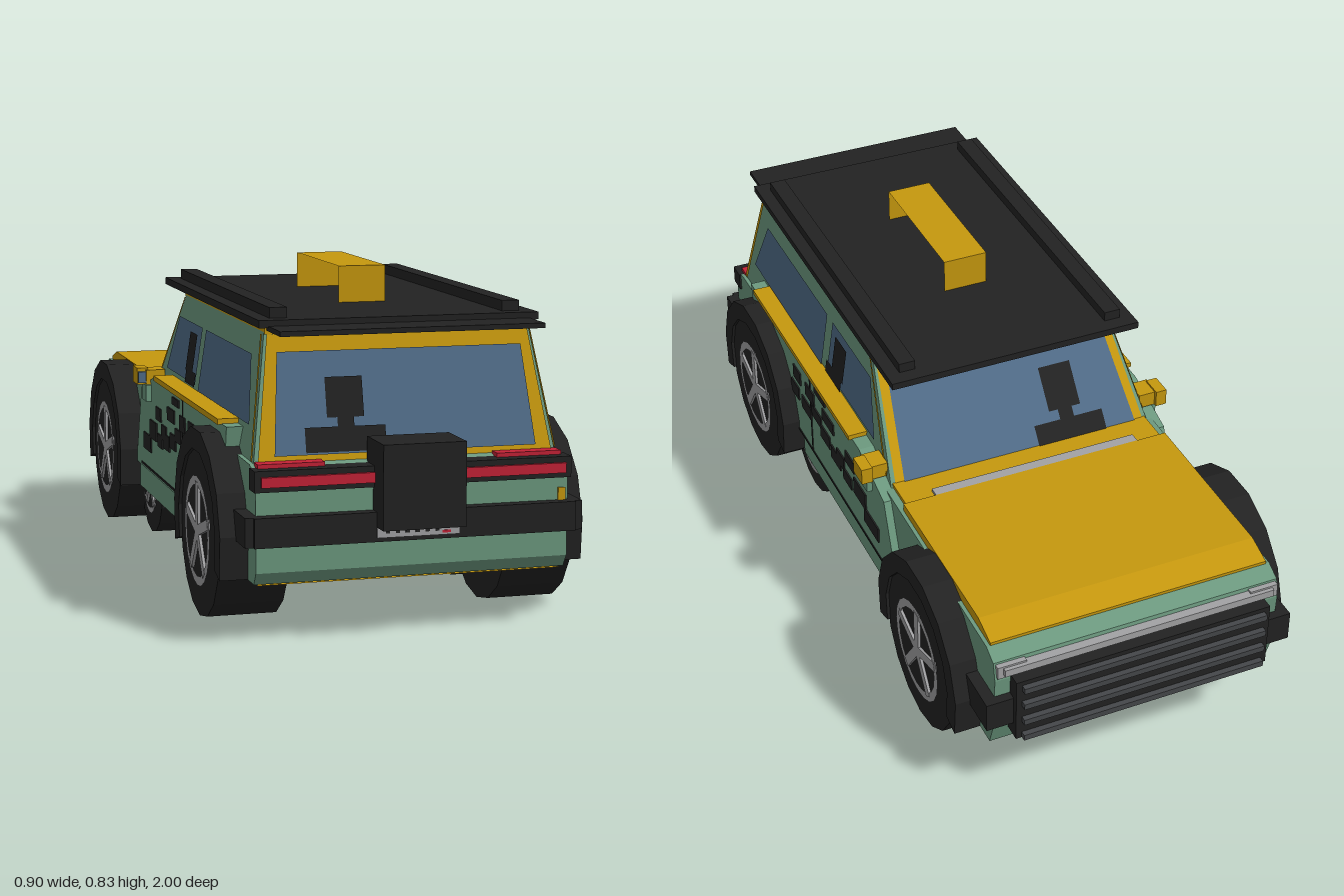
import * as THREE from 'three';

const mat = (name, color) => new THREE.MeshStandardMaterial({ name, color, side: THREE.DoubleSide });
const green = mat('sage green', 0x6c997f);
const gold = mat('gold', 0xc6980e);
const black = mat('black', 0x222222);
const blue = mat('window blue', 0x506c88);
const red = mat('lamp red', 0xc42236);
const grey = mat('light grey', 0xa2a2a4);
const dark = mat('dark grey', 0x45474a);

export function createModel() {
  const car = new THREE.Group();
  car.name = 'offRoadCar';

  const add = (name, geo, m, parent = car) => {
    const mesh = new THREE.Mesh(geo, m);
    mesh.name = name;
    parent.add(mesh);
    return mesh;
  };
  // Box given by its extents
  const box = (name, m, x0, x1, y0, y1, z0, z1, parent) => {
    const g = new THREE.BoxGeometry(Math.abs(x1 - x0), y1 - y0, z1 - z0);
    g.translate((x0 + x1) / 2, (y0 + y1) / 2, (z0 + z1) / 2);
    return add(name, g, m, parent);
  };
  // Convex flat panel from its corners
  const panel = (name, m, pts) => {
    const g = new THREE.BufferGeometry();
    g.setAttribute('position', new THREE.Float32BufferAttribute(pts.flat(), 3));
    const idx = [];
    for (let i = 1; i < pts.length - 1; i++) idx.push(0, i, i + 1);
    g.setIndex(idx);
    const flat = g.toNonIndexed();
    flat.computeVertexNormals();
    return add(name, flat, m);
  };
  // Side profile in (z, y) extruded across x
  const sweep = (shape, x0, x1) => {
    const g = new THREE.ExtrudeGeometry(shape, { depth: x1 - x0, bevelEnabled: false, curveSegments: 14 });
    g.rotateY(-Math.PI / 2);
    g.translate(x1, 0, 0);
    return g;
  };
  const outline = (pts) => new THREE.Shape(pts.map(([z, y]) => new THREE.Vector2(z, y)));

  // Lower body, sills and doors
  add('lowerBody', sweep(outline([[0.9, 0.14], [0.92, 0.17], [0.92, 0.4], [0.86, 0.415], [-0.27, 0.44],
    [-0.9, 0.43], [-0.94, 0.41], [-0.95, 0.36], [-0.94, 0.2], [-0.92, 0.14]]), -0.38, 0.38), green);
  add('doorBody', sweep(outline([[0.67, 0.21], [0.72, 0.48], [-0.13, 0.48], [-0.3, 0.43], [-0.38, 0.21]]), -0.4, 0.4), green);
  panel('floorGold', gold, [[0.37, 0.137, 0.9], [-0.37, 0.137, 0.9], [-0.37, 0.137, -0.9]]);

  // Bonnet and cowl
  add('bonnet', sweep(outline([[-0.36, 0.41], [-0.36, 0.46], [-0.83, 0.46], [-0.9, 0.438], [-0.9, 0.41]]), -0.37, 0.37), gold);
  box('cowl', gold, -0.36, 0.36, 0.4, 0.45, -0.36, -0.26);
  box('wiperStrip', grey, -0.29, 0.28, 0.45, 0.458, -0.36, -0.33);

  // Cabin: tapered block
  const lerp = THREE.MathUtils.lerp, t = (y) => (y - 0.41) / 0.3;
  const halfW = (y) => lerp(0.37, 0.325, t(y));
  const rearZ = (y) => lerp(0.86, 0.785, t(y));
  const frontZ = (y) => lerp(-0.29, -0.05, t(y));
  const cabin = new THREE.BoxGeometry(2, 0.3, 2);
  const p = cabin.attributes.position;
  for (let i = 0; i < p.count; i++) {
    const y = p.getY(i) + 0.56;
    p.setXYZ(i, p.getX(i) * halfW(y), y, p.getZ(i) > 0 ? rearZ(y) : frontZ(y));
  }
  cabin.computeVertexNormals();
  add('cabin', cabin, green);
  box('roofPanel', gold, -0.325, 0.325, 0.705, 0.722, -0.06, 0.79);

  const onRear = (name, m, pts, d) => panel(name, m, pts.map(([x, y]) => [x, y, rearZ(y) + d]));
  const onFront = (name, m, pts, d) => panel(name, m, pts.map(([x, y]) => [x, y, frontZ(y) - d]));
  const onSide = (name, m, s, pts, d) => panel(name, m, pts.map(([z, y]) => [s * (halfW(y) + d), y, z]));
  const rect = (a0, a1, b0, b1) => [[a0, b0], [a1, b0], [a1, b1], [a0, b1]];

  // Rear and front glass with frames
  onRear('rearFrame', gold, [[-0.36, 0.415], [0.36, 0.415], [0.32, 0.705], [-0.32, 0.705]], 0.004);
  onRear('rearWindow', blue, [[-0.32, 0.43], [0.32, 0.43], [0.3, 0.665], [-0.3, 0.665]], 0.008);
  onFront('windscreenFrame', gold, [[-0.355, 0.43], [0.355, 0.43], [0.32, 0.705], [-0.32, 0.705]], 0.004);
  onFront('windscreen', blue, [[-0.33, 0.44], [0.33, 0.44], [0.3, 0.68], [-0.3, 0.68]], 0.008);

  // Seat silhouettes seen through the glass
  for (const on of [onRear, onFront]) {
    on('seatBase', black, rect(-0.245, -0.05, 0.435, 0.492), 0.011);
    on('seatNeck', black, rect(-0.165, -0.125, 0.49, 0.515), 0.011);
    on('headrest', black, rect(-0.19, -0.1, 0.513, 0.605), 0.011);
  }

  // Dark blocks along the doors: z centre, y centre, width, height
  const blocks = [[0.16, 0.455, 0.08, 0.02], [0.24, 0.41, 0.065, 0.04], [0.34, 0.41, 0.055, 0.04], [0.1, 0.412, 0.085, 0.035],
    [0.19, 0.37, 0.07, 0.035], [0.36, 0.35, 0.06, 0.04], [0.27, 0.345, 0.075, 0.04], [0.125, 0.345, 0.07, 0.04],
    [0.01, 0.35, 0.055, 0.04], [0.045, 0.33, 0.07, 0.04], [-0.06, 0.39, 0.065, 0.035], [-0.13, 0.335, 0.085, 0.05],
    [-0.21, 0.29, 0.1, 0.045], [-0.04, 0.32, 0.06, 0.035]];

  for (const s of [1, -1]) {
    // Side glass, pillars and trim
    onSide('rearSideWindow', blue, s, [[0.79, 0.495], [0.245, 0.495], [0.245, 0.652], [0.72, 0.652]], 0.005);
    onSide('frontSideWindow', blue, s, [[0.205, 0.505], [-0.14, 0.505], [-0.07, 0.652], [0.205, 0.652]], 0.005);
    onSide('sideHeadrest', black, s, rect(0.09, 0.17, 0.53, 0.63), 0.008);
    onSide('sideSeat', black, s, rect(0.1, 0.21, 0.5, 0.535), 0.008);
    onSide('rearPillarTrim', gold, s, [[0.857, 0.42], [0.842, 0.42], [0.77, 0.705], [0.784, 0.705]], 0.004);
    onSide('frontPillarTrim', gold, s, [[-0.24, 0.46], [-0.225, 0.46], [-0.04, 0.705], [-0.05, 0.705]], 0.004);
    box('beltTrim', gold, s * 0.35, s * 0.41, 0.478, 0.492, -0.08, 0.67);
    box('sill', green, s * 0.34, s * 0.392, 0.14, 0.215, -0.37, 0.34);
    box('doorGap', black, s * 0.395, s * 0.402, 0.22, 0.478, 0.236, 0.242);
    box('sillGap', black, s * 0.395, s * 0.402, 0.216, 0.222, -0.3, 0.36);
    for (const [z, y, w, h] of blocks)
      box('doorBlock', black, s * 0.396, s * 0.404, y - h / 2, y + h / 2, z - w / 2, z + w / 2);

    // Door mirror
    box('mirrorArm', green, s * 0.36, s * 0.415, 0.41, 0.455, -0.22, -0.16);
    box('mirrorInner', gold, s * 0.36, s * 0.412, 0.455, 0.495, -0.23, -0.17);
    box('mirrorOuter', gold, s * 0.405, s * 0.435, 0.455, 0.5, -0.24, -0.18);
    box('mirrorGlass', blue, s * 0.41, s * 0.433, 0.46, 0.49, -0.18, -0.172);

    // Wheels: outer pair with flares, and a smaller inner pair
    for (const [z, y, r, x0, x1] of [[0.6, 0.21, 0.21, 0.27, 0.44], [-0.62, 0.21, 0.21, 0.27, 0.44],
      [0.36, 0.155, 0.15, 0.27, 0.36], [-0.37, 0.155, 0.15, 0.27, 0.36]]) {
      const wheel = new THREE.Group();
      wheel.name = 'wheel';
      wheel.position.set(s * (x0 + x1) / 2, y, z);
      wheel.rotation.y = s * Math.PI / 2;
      car.add(wheel);
      const w = x1 - x0, k = r / 0.21;
      const tyre = new THREE.CylinderGeometry(r, r, w, 16).toNonIndexed();
      tyre.rotateX(Math.PI / 2);
      tyre.computeVertexNormals();
      add('tyre', tyre, black, wheel);
      const ring = new THREE.RingGeometry(0.112 * k, 0.135 * k, 20);
      ring.translate(0, 0, w / 2 + 0.006);
      add('rimRing', ring, grey, wheel);
      for (let i = 0; i < 5; i++) {
        const spoke = new THREE.BoxGeometry(0.026 * k, 0.12 * k, 0.008);
        spoke.translate(0, 0.06 * k, w / 2 + 0.003);
        spoke.rotateZ(i * Math.PI * 0.4);
        add('spoke', spoke, grey, wheel);
      }
      if (r < 0.2) continue;
      // Faceted flare over the wheel
      const arc = (rad, i) => {
        const a = -0.28 + (i / 9) * (Math.PI + 0.56);
        return [z + rad * Math.cos(a), y + rad * Math.sin(a)];
      };
      const pts = [];
      for (let i = 0; i < 10; i++) pts.push(arc(0.253, i));
      for (let i = 9; i >= 0; i--) pts.push(arc(0.2, i));
      add('wheelFlare', sweep(outline(pts), s > 0 ? 0.36 : -0.448, s > 0 ? 0.448 : -0.36), black);
    }

    // Roof rails
    box('roofRail', black, s * 0.265, s * 0.308, 0.738, 0.765, -0.195, 0.77);
    // Rear lamps and front corner pieces
    box('rearLampTop', red, s * 0.21, s * 0.37, 0.408, 0.42, 0.865, 0.9);
    box('headlamp', grey, s * 0.3, s * 0.375, 0.37, 0.405, -0.955, -0.93);
    box('cornerGuardFront', black, s * 0.36, s * 0.41, 0.23, 0.31, -0.97, -0.84);
    box('cornerGuardRear', black, s * 0.36, s * 0.41, 0.235, 0.305, 0.82, 0.94);
  }

  // Roof rack with spoiler and hollow carrier
  box('roofBoard', black, -0.343, 0.343, 0.722, 0.74, -0.235, 0.81);
  box('spoiler', black, -0.32, 0.32, 0.714, 0.726, 0.78, 0.915);
  const bar = (name, a, b) => panel(name, gold, [[-0.06, ...a], [0.06, ...a], [0.06, ...b], [-0.06, ...b]]);
  bar('carrierTop', [0.83, 0.1], [0.83, 0.49]);
  bar('carrierFront', [0.74, 0.1], [0.83, 0.1]);
  bar('carrierRear', [0.74, 0.49], [0.83, 0.49]);

  // Tail: lamp bar, bumper, spare box and plate
  box('lampBar', black, -0.385, 0.385, 0.36, 0.41, 0.88, 0.93);
  box('lampStrip', red, -0.37, 0.37, 0.372, 0.396, 0.925, 0.938);
  box('rearBumper', black, -0.39, 0.39, 0.235, 0.305, 0.9, 0.95);
  box('rearReflector', gold, 0.355, 0.373, 0.3, 0.335, 0.915, 0.925);
  box('spareBox', black, -0.1, 0.1, 0.27, 0.47, 0.87, 1.0);
  box('plate', grey, -0.1, 0.1, 0.245, 0.268, 0.948, 0.955);
  for (let i = 0; i < 6; i++) box('plateTick', black, -0.08 + i * 0.024, -0.07 + i * 0.024, 0.255, 0.267, 0.955, 0.957);
  box('plateMark', red, 0.057, 0.078, 0.25, 0.256, 0.955, 0.957);

  // Nose: grille, slats and lamp strip
  box('frontBumper', black, -0.4, 0.4, 0.23, 0.31, -0.97, -0.92);
  box('grille', black, -0.34, 0.34, 0.19, 0.37, -0.985, -0.94);
  for (const y of [0.2, 0.25, 0.3, 0.35]) box('slat', dark, -0.325, 0.325, y - 0.008, y + 0.008, -1, -0.98);
  box('lampStripFront', grey, -0.36, 0.36, 0.38, 0.4, -0.965, -0.94);
  return car;
}
